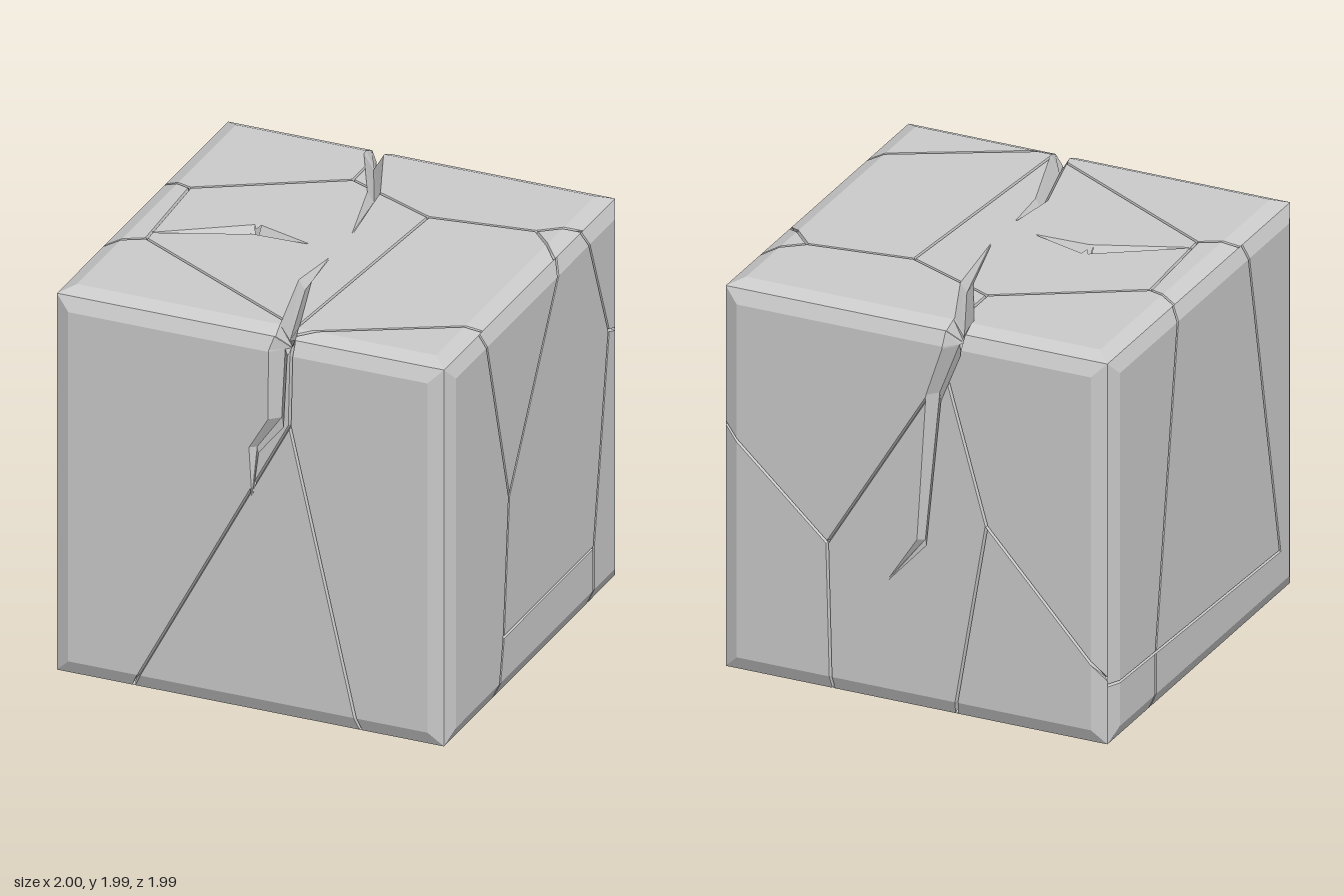
import * as THREE from 'three';

const HALF = [1, 0.9925, 0.993];        // half extents of the block
const FLAT = 0.9, RIM = 0.97;           // bevel starts at FLAT, neighbouring faces meet at RIM
const SEAM_WIDTH = 0.014, SEAM_DEPTH = 0.022;

// Keep the part of a convex polygon of [u, v, depth] where a*u + b*v + c >= 0
function clip(poly, a, b, c) {
  const out = [];
  poly.forEach((p, i) => {
    const q = poly[(i + 1) % poly.length];
    const dp = a * p[0] + b * p[1] + c, dq = a * q[0] + b * q[1] + c;
    if (dp >= 0) out.push(p);
    if ((dp > 0 && dq < 0) || (dp < 0 && dq > 0)) {
      const t = dp / (dp - dq);
      out.push(p.map((v, k) => v + (q[k] - v) * t));
    }
  });
  return out;
}

function isSolid(poly) {
  const area = poly.reduce((sum, a, i) => {
    const b = poly[(i + 1) % poly.length];
    return sum + (a[0] * b[1] - b[0] * a[1]) / 2;
  }, 0);
  return Math.abs(area) > 1e-8;
}

// Cut a convex quad out of a convex polygon, leaving convex pieces
function subtract(poly, quad) {
  const pieces = [];
  let rest = poly;
  for (let i = 0; i < 4; i++) {
    const p = quad[i], q = quad[(i + 1) % 4];
    const a = p[1] - q[1], b = q[0] - p[0], c = -(a * p[0] + b * p[1]);
    const outside = clip(rest, -a, -b, -c);
    if (isSolid(outside)) pieces.push(outside);
    rest = clip(rest, a, b, c);
    if (!isSolid(rest)) return [poly];
  }
  return pieces;
}

// Carve a V-shaped groove along a path; widthAt and depthAt take 0..1 along it
function carve(polys, path, widthAt, depthAt) {
  const last = path.length - 1;
  const normal = (i) => {
    const [p, q] = [path[i], path[i + 1]];
    return new THREE.Vector2(p[1] - q[1], q[0] - p[0]).normalize();
  };
  const rows = path.map(([u, v], i) => {
    const before = normal(Math.max(i - 1, 0)), after = normal(Math.min(i, last - 1));
    const m = before.clone().add(after).normalize();
    m.multiplyScalar(widthAt(i / last) / 2 / Math.max(m.dot(before), 0.5));
    return [[u + m.x, v + m.y, 0], [u, v, depthAt(i / last)], [u - m.x, v - m.y, 0]];
  });
  for (let i = 0; i < last; i++) {
    const [l0, c0, r0] = rows[i], [l1, c1, r1] = rows[i + 1];
    polys = polys.flatMap((p) => subtract(p, [r0, r1, l1, l0]));
    polys.push([r0, r1, c1, c0], [c0, c1, l1, l0]);
  }
  return polys;
}

const carveSeam = (polys, path) => carve(polys, path, () => SEAM_WIDTH, () => SEAM_DEPTH);

// Wide cracks start at full width and taper to a tip
const carveCrack = (polys, path) =>
  carve(polys, path, (t) => 0.1 * (1 - 0.9 * t * t), (t) => 0.09 * (1 - t * t));

// Trim to the rim, then split along bevel lines and corner mitres
function splitAtBevels(polys) {
  for (const [a, b] of [[1, 0], [-1, 0], [0, 1], [0, -1]]) {
    polys = polys.map((p) => clip(p, a, b, RIM)).filter(isSolid);
  }
  for (const [a, b, c] of [[1, 0, FLAT], [1, 0, -FLAT], [0, 1, FLAT], [0, 1, -FLAT], [1, 1, 0], [1, -1, 0]]) {
    polys = polys.flatMap((p) => [clip(p, a, b, c), clip(p, -a, -b, -c)]).filter(isSolid);
  }
  return polys;
}

// One side of the block; axes are its two in-plane axes and its outward axis
function buildFace(name, axes, sign, seams, cracks) {
  const [iu, iv, iw] = axes;
  const lower = (path) => path.map(([u, v]) => [u, iv === 1 ? v - 1 : v]);  // heights count from the ground
  let polys = [[[-1, -1, 0], [1, -1, 0], [1, 1, 0], [-1, 1, 0]]];
  polys = seams.map(lower).reduce(carveSeam, polys);
  polys = cracks.map(lower).reduce(carveCrack, polys);

  const place = ([u, v, depth]) => {
    const past = Math.max(0, Math.max(Math.abs(u), Math.abs(v)) - FLAT);
    const limit = RIM - depth, p = [];
    p[iu] = THREE.MathUtils.clamp(u, -limit, limit) * HALF[iu];
    p[iv] = THREE.MathUtils.clamp(v, -limit, limit) * HALF[iv];
    p[iw] = sign * (1 - past * (1 - RIM) / (RIM - FLAT) - depth) * HALF[iw];
    return [p[0], p[1] + HALF[1], p[2]];
  };
  const flip = (iw === 2) !== (sign > 0);
  const positions = [];
  for (const poly of splitAtBevels(polys)) {
    const pts = poly.map(place);
    if (flip) pts.reverse();
    for (let i = 1; i < pts.length - 1; i++) positions.push(...pts[0], ...pts[i], ...pts[i + 1]);
  }
  const geometry = new THREE.BufferGeometry();
  geometry.setAttribute('position', new THREE.Float32BufferAttribute(positions, 3));
  geometry.computeVertexNormals();
  const material = new THREE.MeshStandardMaterial({ color: 0xcccccc, flatShading: true, side: THREE.DoubleSide });
  const mesh = new THREE.Mesh(geometry, material);
  mesh.name = name;
  return mesh;
}

export function createModel() {
  const group = new THREE.Group();
  group.name = 'crackedBlock';
  const XY = [0, 1, 2], ZY = [2, 1, 0], XZ = [0, 2, 1];

  // Front: forked seam below a deep crack from the top edge
  group.add(buildFace('frontFace', XY, 1, [
    [[0.22, 2], [0.21, 1.54], [0.56, 0]],
    [[0.21, 1.54], [0, 1.14], [-0.6, 0]],
  ], [
    [[0.18, 2], [0.15, 1.9], [0.14, 1.54], [0.03, 1.38], [0.02, 1.14]],
  ]));

  // Back: branching seams and the longest crack
  group.add(buildFace('backFace', XY, -1, [
    [[-0.16, 1.78], [0.44, 0.78], [0.42, 0]],
    [[0.44, 0.78], [1, 1.3]],
    [[-0.16, 1.78], [-0.37, 1.03], [-0.2, 0]],
    [[-0.37, 1.03], [-1, 0.33]],
  ], [
    [[-0.2, 2], [-0.19, 1.88], [-0.1, 1.63], [-0.04, 0.88], [0.13, 0.66]],
  ]));

  // Left and right: seams only
  group.add(buildFace('leftFace', ZY, 1, [
    [[0.58, 2], [0.3, 1.02], [0.36, 0.32], [0.42, 0]],
    [[-0.32, 2], [0.3, 1.02]],
    [[0.36, 0.32], [-0.66, 0.32], [-0.83, 1.36], [-0.57, 2]],
    [[-0.66, 0], [-0.66, 0.32]],
    [[-0.83, 1.36], [-1, 1.3]],
  ], []));
  group.add(buildFace('rightFace', ZY, -1, [
    [[-0.27, 2], [-0.52, 0.31], [-0.52, 0]],
    [[-1, 0.33], [0.8, 0.27], [0.45, 2]],
  ], []));

  // Top: a ring of seams around the centre, with cracks running in from the edges
  group.add(buildFace('topFace', XZ, 1, [
    [[-0.18, -0.6], [-0.83, -0.22], [-0.8, 0.34], [0.2, 0.9]],
    [[-0.18, -1], [-0.18, -0.6], [0.29, -0.39], [0.2, 0.9]],
    [[0.29, -0.39], [0.8, -0.46], [1, -0.62]],
    [[0.8, -0.46], [1, -0.25]],
    [[0.2, 0.95], [1, 0.52]],
    [[-0.83, -0.22], [-1, -0.27]],
    [[-0.8, 0.34], [-1, 0.45]],
  ], [
    [[-0.2, -1], [-0.2, -0.88], [-0.04, -0.52], [0.04, -0.09]],
    [[0.18, 1], [0.16, 0.88], [0.04, 0.44], [0.05, 0.18]],
    [[-0.38, 0.05], [-0.8, 0.27]],
    [[-0.38, 0.05], [-0.1, 0.09]],
  ]));

  // Bottom: seams only
  group.add(buildFace('bottomFace', XZ, -1, [
    [[1, -0.66], [0.56, -0.59], [0.42, -1]],
    [[0.56, -0.59], [0.27, 0.03], [0.67, 0.49], [1, 0.42]],
    [[0.67, 0.49], [0.56, 1]],
    [[0.27, 0.03], [-0.27, -0.06], [-0.47, -0.35], [-0.2, -1]],
    [[-0.47, -0.35], [-1, -0.52]],
    [[-0.27, -0.06], [-0.74, 0.78], [-0.6, 1]],
  ], []));

  return group;
}
